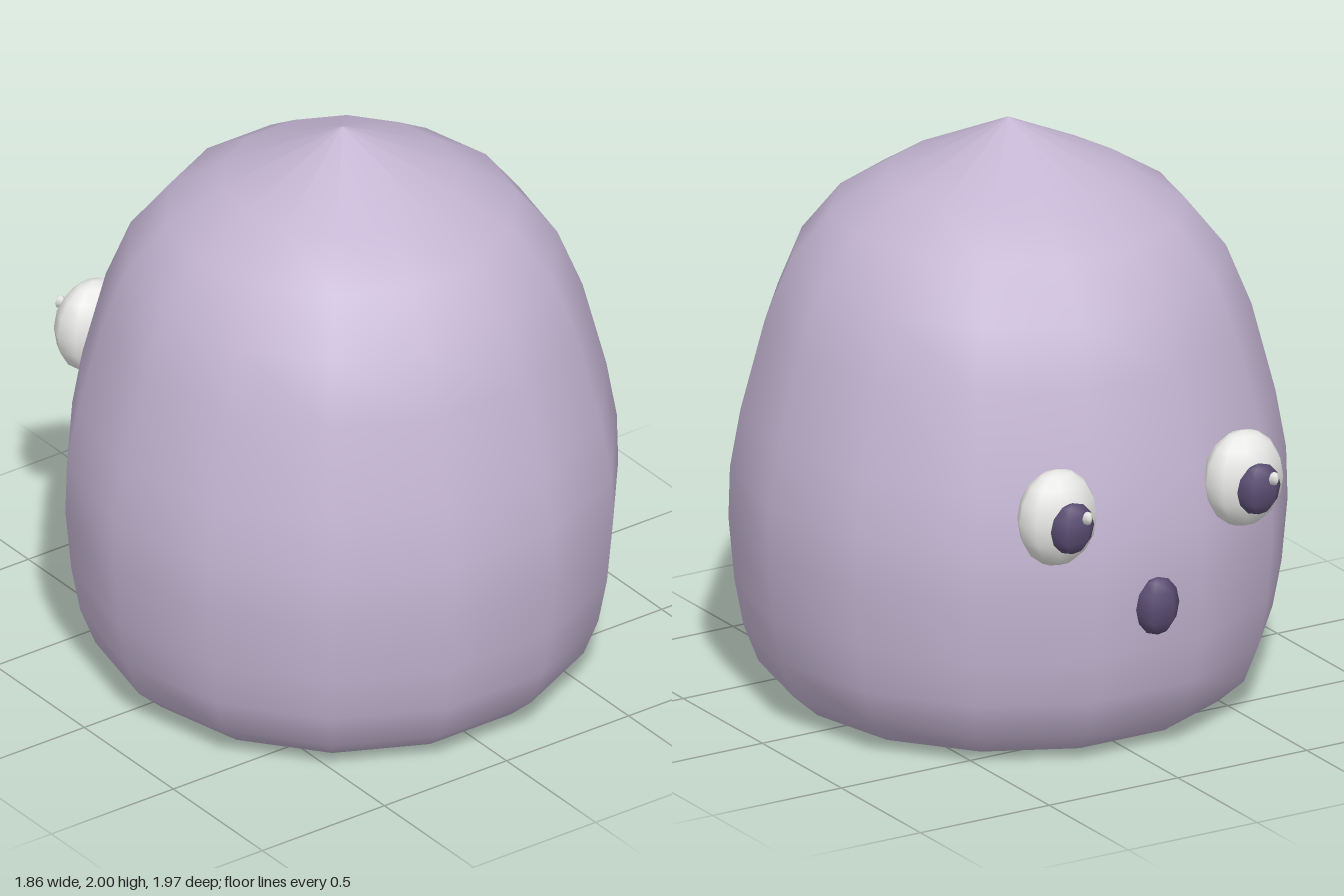
import * as THREE from 'three';

export function createModel() {
  const model = new THREE.Group();
  const mat = (name, color) => {
    const m = new THREE.MeshStandardMaterial({ color });
    m.name = name;
    return m;
  };
  const lilac = mat('lilac', 0xc4b5d2);
  const white = mat('eyeWhite', 0xececea);
  const dark = mat('darkPurple', 0x5a4d72);

  const add = (name, geometry, material, x, y, z, parent = model) => {
    const mesh = new THREE.Mesh(geometry, material);
    mesh.name = name;
    mesh.position.set(x, y, z);
    parent.add(mesh);
    return mesh;
  };
  // Squashed low-poly ball with baked-in radii
  const ball = (rx, ry, rz, w, h) => {
    const g = new THREE.SphereGeometry(1, w, h);
    g.scale(rx, ry, rz);
    return g;
  };

  // Dome-shaped body: 14 sides, smooth, with a vertex on each side of x
  const sides = 14, centreZ = 0.075;
  const profile = [
    [0.58, 0.005], [0.74, 0.03], [0.83, 0.11], [0.88, 0.24], [0.91, 0.4],
    [0.93, 0.62], [0.925, 0.8], [0.89, 1.0], [0.81, 1.31], [0.725, 1.52],
    [0.59, 1.69], [0.4, 1.81], [0, 2],
  ].map(([r, y]) => new THREE.Vector2(r, y));
  add('body', new THREE.LatheGeometry(profile, sides, Math.PI / sides), lilac, 0, 0, centreZ);

  // Flat underside
  const base = new THREE.CircleGeometry(0.58, sides);
  base.rotateX(Math.PI / 2);
  add('underside', base, lilac, 0, 0.005, centreZ);

  // Eyes, with both highlights shifted the same way
  for (const side of [1, -1]) {
    const eye = new THREE.Group();
    eye.name = side > 0 ? 'leftEye' : 'rightEye';
    eye.position.set(side * 0.362, 0.94, -0.825);
    add('eyeball', ball(0.145, 0.167, 0.103, 10, 8), white, 0, 0, 0, eye);
    add('pupil', ball(0.084, 0.09, 0.042, 6, 6), dark, 0, -0.01, -0.097, eye);
    add('highlight', ball(0.021, 0.024, 0.021, 4, 4), white, -0.033, 0.033, -0.14, eye);
    model.add(eye);
  }

  // Small oval mouth
  add('mouth', ball(0.084, 0.102, 0.045, 6, 6), dark, -0.003, 0.57, -0.867);

  return model;
}
